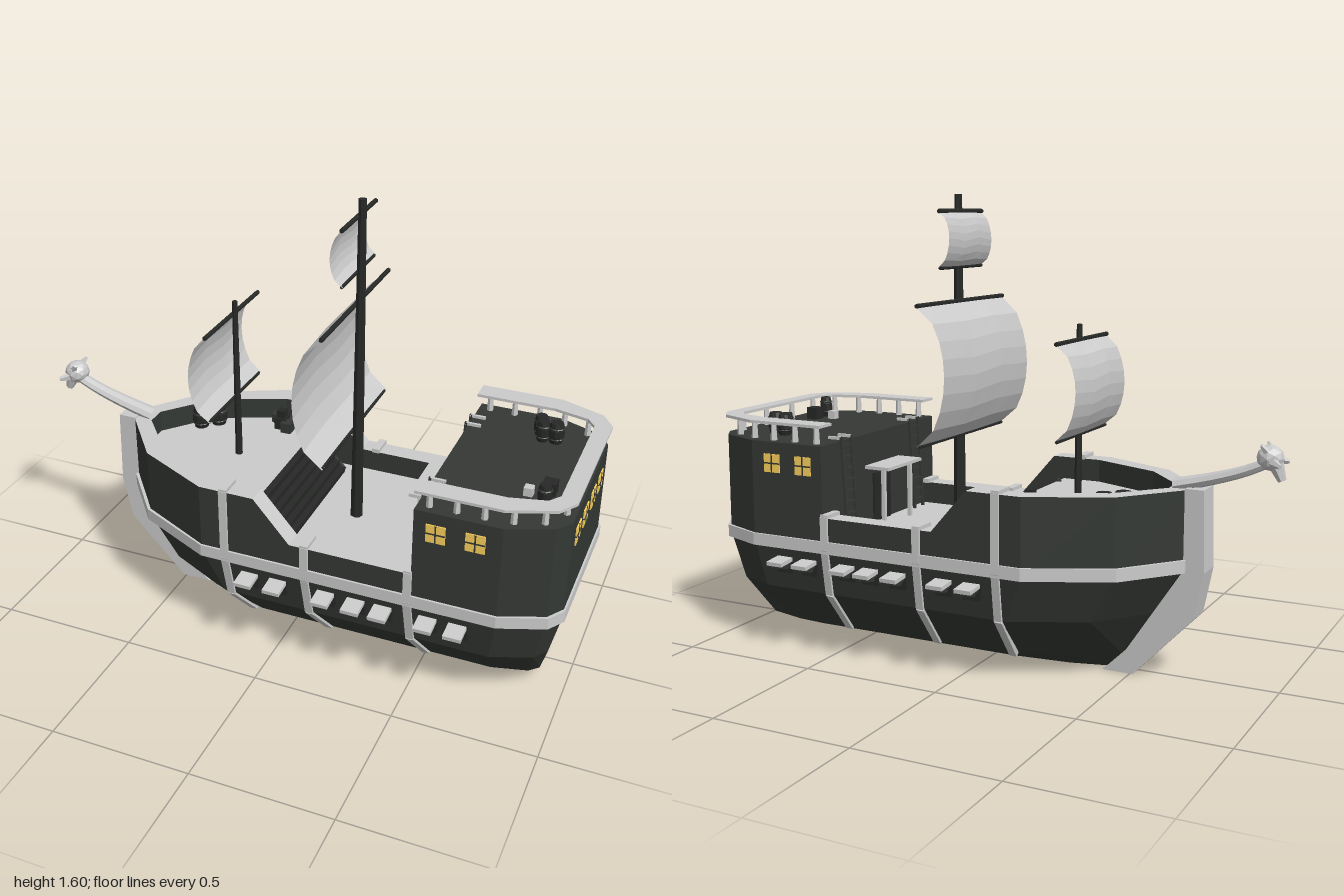
import * as THREE from 'three';

const mat = (color, side = THREE.FrontSide) =>
  new THREE.MeshStandardMaterial({ color, side, flatShading: true });
const grey = mat(0xcccccc), greyThin = mat(0xcccccc, THREE.DoubleSide);
const dark = mat(0x343834), darkThin = mat(0x343834, THREE.DoubleSide);
const black = mat(0x262826), gold = mat(0xffd55d);

// Half plan of the hull, bow to stern: [x, z]
const HALF = [[-0.68, 0.05], [-0.52, 0.25], [-0.25, 0.38], [0.8, 0.38], [0.95, 0.32], [0.99, 0.26]];
const mirrorLoop = half => [...half, ...half.map(([x, z, ...r]) => [x, -z, ...r]).reverse()];

export function createModel() {
  const ship = new THREE.Group();
  ship.name = 'sailingShip';

  const add = (name, geometry, material, x = 0, y = 0, z = 0, parent = ship) => {
    const m = new THREE.Mesh(geometry, material);
    m.name = name;
    m.position.set(x, y, z);
    parent.add(m);
    return m;
  };
  const box = (name, w, h, d, material, x, y, z) =>
    add(name, new THREE.BoxGeometry(w, h, d), material, x, y, z);

  // Straight beam between two points; round when sides are given
  const beam = (name, a, b, w, d, material, sides = 0) => {
    const p = new THREE.Vector3(...a), q = new THREE.Vector3(...b), dir = q.clone().sub(p);
    const len = dir.length();
    const g = sides ? new THREE.CylinderGeometry(d, w, len, sides) : new THREE.BoxGeometry(w, len, d);
    const m = add(name, g, material);
    m.position.copy(p.add(q).multiplyScalar(0.5));
    m.quaternion.setFromUnitVectors(new THREE.Vector3(0, 1, 0), dir.normalize());
    return m;
  };

  // Horizontal slab from a plan outline
  const slab = (name, plan, y0, y1, material, hole) => {
    const toV = ([x, z]) => new THREE.Vector2(x, -z);
    const shape = new THREE.Shape(plan.map(toV));
    if (hole) shape.holes.push(new THREE.Path(hole.map(toV)));
    const g = new THREE.ExtrudeGeometry(shape, { depth: y1 - y0, bevelEnabled: false });
    return add(name, g.rotateX(-Math.PI / 2), material, 0, y0, 0);
  };

  // Skin through rows of points
  const loft = (name, rows, material, closed) => {
    const n = rows[0].length, idx = [];
    for (let r = 0; r < rows.length - 1; r++)
      for (let i = 0; i < (closed ? n : n - 1); i++) {
        const a = r * n + i, b = r * n + (i + 1) % n;
        idx.push(a, a + n, b, b, a + n, b + n);
      }
    const g = new THREE.BufferGeometry();
    g.setAttribute('position', new THREE.Float32BufferAttribute(rows.flat(2), 3));
    g.setIndex(idx);
    g.computeVertexNormals();
    return add(name, g, material);
  };

  // Lower hull: plan squeezed per level [y, half width, bow x, stern x]
  const levels = [[0, 0.06, -0.4, 0.88], [0.06, 0.2, -0.46, 0.91], [0.22, 0.345, -0.575, 0.95], [0.39, 0.38, -0.68, 0.99]];
  const rows = levels.map(([y, w, bow, stern]) => mirrorLoop(HALF).map(([x, z]) =>
    [bow + (x + 0.68) / 1.67 * (stern - bow), y, z * w / 0.38]));
  rows.unshift(rows[0].map(([x, y]) => [x, y, 0]));
  loft('lowerHull', rows, darkThin, true);

  // Bulwarks: [outer x, outer z, top, inner x, inner z], ordered around the bow
  const wall = [[0.51, 0.38, 0.5, 0.51, 0.31], [0.08, 0.38, 0.5, 0.08, 0.31], [-0.05, 0.38, 0.65, -0.05, 0.31],
    [-0.25, 0.38, 0.65, -0.23, 0.31], [-0.52, 0.25, 0.65, -0.48, 0.2], [-0.68, 0.05, 0.65, -0.62, 0.035]];
  const path = [...wall, ...wall.map(([x, z, t, u, v]) => [x, -z, t, u, -v]).reverse()];
  const outerTop = path.map(([x, z, t]) => [x, t, z]), innerTop = path.map(([, , t, u, v]) => [u, t, v]);
  loft('bulwarkOuter', [path.map(([x, z]) => [x, 0.38, z]), outerTop], darkThin);
  loft('bulwarkInner', [path.map(([, , , u, v]) => [u, 0.4, v]), innerTop], darkThin);
  loft('bulwarkCap', [outerTop, innerTop], greyThin);

  // Decks and stern castle
  slab('mainDeck', mirrorLoop([[-0.1, 0.32], [0.52, 0.32]]), 0.39, 0.42, grey);
  slab('foreDeck', mirrorLoop([[-0.63, 0.035], [-0.485, 0.205], [-0.235, 0.315], [-0.09, 0.315]]), 0.4, 0.57, [grey, dark]);
  slab('sternCastle', mirrorLoop([[0.51, 0.38], ...HALF.slice(3)]), 0.38, 0.75, dark);

  // Waist band and stem
  const grow = mirrorLoop(HALF.map(([x, z]) => [x + (x > 0.9 ? 0.007 : x < -0.5 ? -0.008 : 0), z + 0.008]));
  slab('waistBand', grow, 0.375, 0.418, grey);
  const stem = new THREE.Shape([[-0.745, 0.655], [-0.752, 0.38], [-0.72, 0.22], [-0.51, 0], [-0.4, 0],
    [-0.47, 0.06], [-0.68, 0.38], [-0.68, 0.655]].map(p => new THREE.Vector2(...p)));
  add('stem', new THREE.ExtrudeGeometry(stem, { depth: 0.1, bevelEnabled: false }), grey, 0, 0, -0.05);

  for (const s of [1, -1]) {
    // Ribs following the hull side
    for (const [x, top] of [[-0.16, 0.655], [0.135, 0.505], [0.5, 0.505]]) {
      const pts = [[x + 0.022, 0.06, s * 0.2], [x + 0.006, 0.22, s * 0.345], [x, 0.39, s * 0.38], [x, top, s * 0.38]];
      for (let i = 0; i < 3; i++) beam('rib', pts[i], pts[i + 1], 0.028, 0.018, grey);
      box('ribCap', 0.028, 0.016, 0.08, grey, x, top, s * 0.347);
    }
    // Gun ports with raised lids
    for (const x of [-0.07, 0.036, 0.212, 0.32, 0.416, 0.572, 0.674]) {
      box('gunPort', 0.064, 0.06, 0.03, black, x, 0.315, s * 0.36);
      box('gunMuzzle', 0.03, 0.026, 0.03, dark, x, 0.315, s * 0.375);
      const lid = box('gunPortLid', 0.062, 0.014, 0.08, grey, x, 0.334, s * 0.402);
      lid.rotation.x = s * 0.1;
      box('lidUnderside', 0.05, 0.012, 0.06, dark, x, 0.322, s * 0.4).rotation.x = s * 0.1;
    }
    // Side windows
    for (const x of [0.585, 0.715]) {
      box('sideWindow', 0.065, 0.065, 0.008, gold, x, 0.675, s * 0.38);
      box('windowBar', 0.005, 0.065, 0.011, dark, x, 0.675, s * 0.38);
      box('windowBar', 0.065, 0.005, 0.011, dark, x, 0.675, s * 0.38);
    }
    // Ladders up to the stern castle
    for (const z of [0.2, 0.26]) {
      beam('ladderRail', [0.485, 0.42, s * z], [0.505, 0.765, s * z], 0.01, 0.01, dark);
      box('ladderHook', 0.055, 0.01, 0.01, grey, 0.53, 0.76, s * z);
    }
    for (let i = 0; i < 8; i++) box('ladderRung', 0.01, 0.01, 0.06, dark, 0.488 + i * 0.0024, 0.45 + i * 0.04, s * 0.23);
    // Porch posts and stair rails
    box('porchPost', 0.014, 0.21, 0.014, grey, 0.44, 0.525, s * 0.09);
    beam('stairRail', [-0.1, 0.575, s * 0.25], [0.03, 0.43, s * 0.25], 0.02, 0.015, dark);
    // Railing posts
    for (const [x, z] of [[0.55, 0.345], [0.64, 0.345], [0.73, 0.345], [0.82, 0.335], [0.91, 0.3], [0.96, 0.22], [0.96, 0.08]])
      add('railPost', new THREE.CylinderGeometry(0.009, 0.012, 0.07, 6), grey, x, 0.78, s * z);
  }
  // Stern windows
  for (const z of [-0.165, -0.055, 0.06, 0.17]) {
    box('sternWindow', 0.008, 0.065, 0.065, gold, 0.99, 0.66, z);
    box('windowBar', 0.011, 0.065, 0.005, dark, 0.99, 0.66, z);
    box('windowBar', 0.011, 0.005, 0.065, dark, 0.99, 0.66, z);
  }
  box('porchRoof', 0.11, 0.012, 0.23, grey, 0.465, 0.63, 0.01);
  box('cabinDoor', 0.01, 0.18, 0.11, black, 0.507, 0.51, 0);

  // U-shaped stern handrail
  const u = [[0.51, 0.385], [0.8, 0.385], [0.955, 0.325], [0.998, 0.26]];
  const inner = [[0.94, 0.24], [0.91, 0.28], [0.79, 0.31], [0.51, 0.31]];
  const neg = a => a.map(([x, z]) => [x, -z]).reverse();
  slab('sternRail', [...u, ...neg(u), ...neg(inner), ...inner], 0.812, 0.822, grey);

  // Stairs between the decks
  for (let i = 0; i < 6; i++) box('stairStep', 0.03, 0.02, 0.5, black, -0.08 + i * 0.02, 0.56 - i * 0.025, 0);
  box('stairBase', 0.05, 0.07, 0.48, black, -0.07, 0.455, 0);

  // Masts
  beam('foreMast', [-0.282, 0.5, 0], [-0.282, 1.17, 0], 0.014, 0.01, black, 8);
  beam('mainMast', [0.178, 0.4, 0], [0.178, 1.6, 0], 0.023, 0.014, black, 8);

  // Sails: bellied sheets hung between two yards
  const sail = (name, x, y0, y1, half, belly, zc) => {
    const h = y1 - y0, g = new THREE.PlaneGeometry(half * 2, h, 6, 8).rotateY(-Math.PI / 2);
    const p = g.attributes.position;
    for (let i = 0; i < p.count; i++) {
      const v = p.getY(i) / h * 2, w = p.getZ(i) / half;
      p.setX(i, -belly * Math.sqrt(Math.max(0, 1 - v * v)) * (0.85 + 0.15 * (1 - v * v)) + 0.006 * w * w);
      p.setY(i, p.getY(i) + 0.006 * Math.sin(w * 5) * (1 - v * v));
    }
    g.computeVertexNormals();
    add(name, g, greyThin, x, (y0 + y1) / 2, zc);
    beam(name + 'TopYard', [x, y1, zc - half], [x, y1, zc + half], 0.008, 0.008, black, 6);
    beam(name + 'BottomYard', [x, y0, zc - half * 0.97], [x, y0, zc + half * 0.97], 0.006, 0.006, black, 6);
  };
  sail('foreSail', -0.292, 0.8, 1.12, 0.212, 0.075, 0.003);
  sail('mainSail', 0.16, 0.765, 1.235, 0.31, 0.108, -0.01);
  sail('topSail', 0.165, 1.352, 1.542, 0.153, 0.045, -0.005);

  // Bowsprit and figurehead
  const spine = new THREE.CatmullRomCurve3([[-0.63, 0.655, 0], [-0.75, 0.685, 0], [-0.86, 0.72, 0], [-0.95, 0.76, 0]]
    .map(p => new THREE.Vector3(...p)));
  const sprit = add('bowsprit', new THREE.TubeGeometry(spine, 8, 0.03, 8), grey);
  sprit.scale.set(1, 1, 1.4);
  const sp = sprit.geometry.attributes.position;
  for (let i = 0; i < sp.count; i++) { // taper toward the figurehead
    const t = Math.floor(i / 9) / 8, c = spine.getPointAt(t), k = 0.8 - 0.25 * t;
    const q = new THREE.Vector3().fromBufferAttribute(sp, i).sub(c).multiplyScalar(k).add(c);
    sp.setXYZ(i, q.x, q.y, q.z);
  }
  add('figurehead', new THREE.IcosahedronGeometry(0.043, 1), grey, -0.945, 0.772, 0).scale.set(1.05, 1, 1.05);
  beam('figureheadJaw', [-0.96, 0.76, 0], [-0.985, 0.7, 0], 0.028, 0.014, grey, 6);
  for (const s of [1, -1]) {
    beam('figureheadHorn', [-0.95, 0.78, s * 0.02], [-0.925, 0.815, s * 0.04], 0.018, 0.006, grey, 5);
    beam('figureheadCheek', [-0.95, 0.765, s * 0.02], [-0.99, 0.755, s * 0.055], 0.02, 0.008, grey, 5);
  }

  // Cargo on deck
  const profile = [[0, 0], [0.026, 0], [0.033, 0.025], [0.033, 0.05], [0.026, 0.075], [0, 0.075]].map(p => new THREE.Vector2(...p));
  const barrel = (x, y, z, k) => {
    add('barrel', new THREE.LatheGeometry(profile, 10), black, x, y, z).scale.set(k, 1, k);
    for (const h of [0.018, 0.057])
      add('barrelHoop', new THREE.TorusGeometry(0.031 * k, 0.003, 4, 10).rotateX(Math.PI / 2), dark, x, y + h, z);
  };
  for (const [x, y, z, k] of [[-0.5, 0.57, -0.13, 1], [-0.45, 0.57, -0.175, 1], [0.76, 0.75, -0.24, 0.75],
    [0.82, 0.75, -0.21, 0.85], [0.775, 0.75, -0.205, 0.75], [0.88, 0.75, 0.195, 0.7]]) barrel(x, y, z, k);
  for (const [x, y, z, s, m] of [[-0.25, 0.57, -0.275, 0.035, dark], [-0.215, 0.57, -0.235, 0.045, black], [-0.18, 0.57, -0.255, 0.035, dark],
    [-0.185, 0.57, -0.215, 0.04, dark], [-0.215, 0.615, -0.235, 0.03, black], [0.88, 0.75, 0.12, 0.045, black], [0.82, 0.75, 0.155, 0.03, grey]])
    box('crate', s, s, s, m, x, y + s / 2, z);
  return ship;
}
